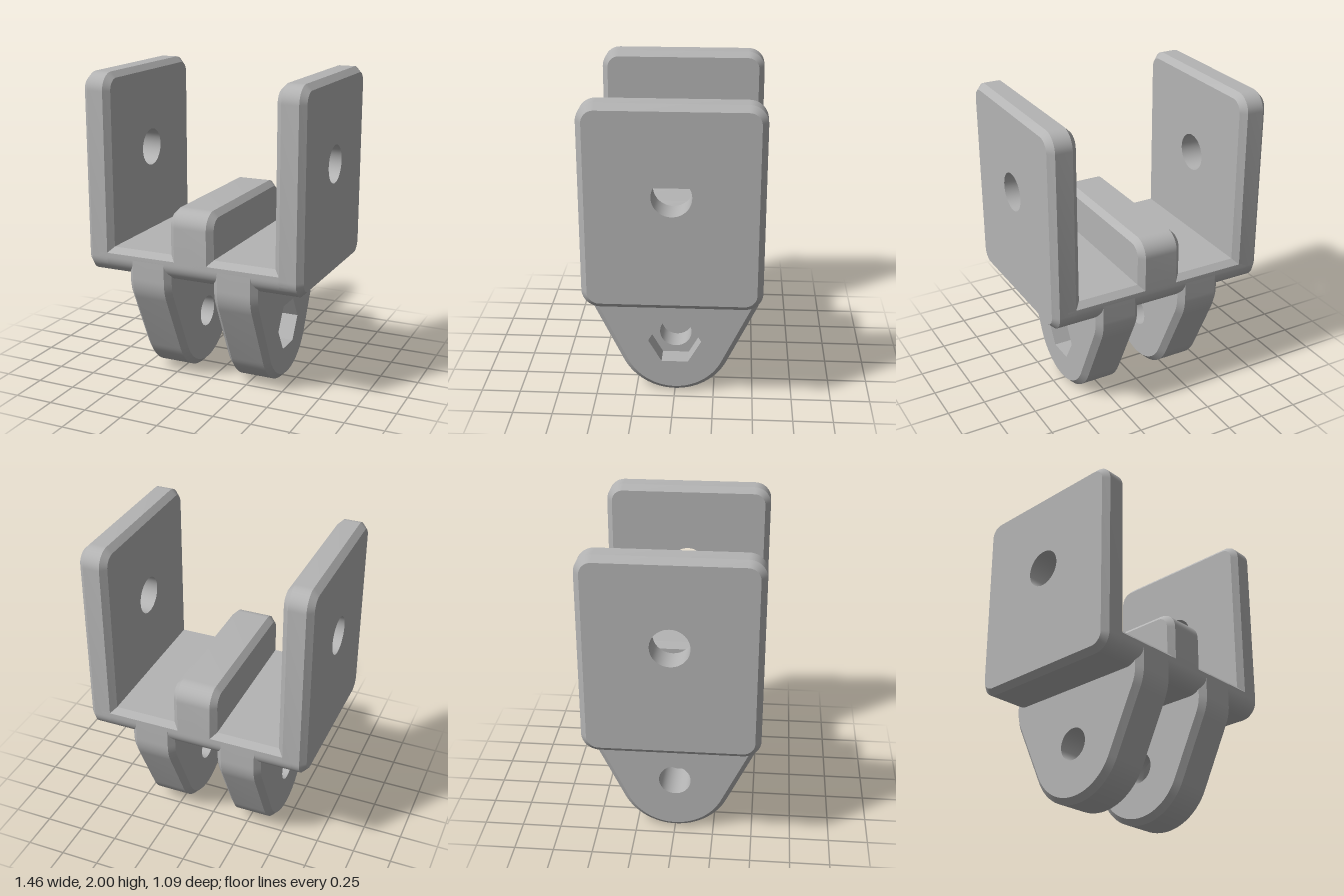
import * as THREE from 'three';
import { toCreasedNormals } from 'three/addons/utils/BufferGeometryUtils.js';

const C = 0.036;      // edge chamfer
const HALF = 0.544;   // half depth of the bracket
const R = 0.11;       // corner radius

// Points on an arc, counter-clockwise from a0 to a1
function arc(cx, cy, r, a0, a1, n = 12) {
  return Array.from({ length: n + 1 }, (_, i) => {
    const a = a0 + ((a1 - a0) * i) / n;
    return new THREE.Vector2(cx + r * Math.cos(a), cy + r * Math.sin(a));
  });
}
const circle = (cy, r, n = 48) => arc(0, cy, r, 0, Math.PI * 2, n).slice(0, -1);
const pt = (x, y) => new THREE.Vector2(x, y);

// Solid across x from x0 to x1; profile(inset) gives its outline, chamfered on both faces.
// A pocket is a wider recess around the hole, sunk into the x1 face.
function slab(profile, x0, x1, chamfer, hole = null, pocket = null, depth = 0) {
  const pos = [];
  const tri = (...v) => v.forEach(([p, w]) => pos.push(p.x, p.y, w));
  const band = (a, wa, b, wb) => a.forEach((p, i) => {
    const j = (i + 1) % a.length;
    tri([p, wa], [a[j], wa], [b[j], wb]);
    tri([p, wa], [b[j], wb], [b[i], wb]);
  });
  const cap = (outline, inner, w, flip) => {
    const holes = inner ? [[...inner].reverse()] : [];
    const all = [outline, ...holes].flat();
    THREE.ShapeUtils.triangulateShape([...outline], holes.map((h) => [...h])).forEach(([a, b, c]) => {
      if (flip) tri([all[a], w], [all[c], w], [all[b], w]);
      else tri([all[a], w], [all[b], w], [all[c], w]);
    });
  };
  const full = profile(0), face = profile(chamfer);
  if (chamfer) {
    band(face, x0, full, x0 + chamfer);
    band(full, x1 - chamfer, face, x1);
  }
  band(full, x0 + chamfer, full, x1 - chamfer);
  cap(face, hole, x0, true);
  cap(face, pocket || hole, x1, false);
  if (hole) {
    const wall = [...hole].reverse();
    band(wall, x0, wall, x1 - depth);
  }
  if (pocket) {
    const wall = [...pocket].reverse();
    band(wall, x1 - depth, wall, x1);
    cap(pocket, hole, x1 - depth, false);
  }
  const g = new THREE.BufferGeometry();
  g.setAttribute('position', new THREE.Float32BufferAttribute(pos, 3));
  g.rotateY(Math.PI / 2);
  return toCreasedNormals(g, 0.45);
}

// Upright plate: rounded rectangle
const plateProfile = (i) => {
  const h = HALF - R, r = R - i, q = Math.PI / 2;
  return [
    ...arc(h, 0.732 + R, r, -q, 0), ...arc(h, 2 - R, r, 0, q),
    ...arc(-h, 2 - R, r, q, 2 * q), ...arc(-h, 0.732 + R, r, 2 * q, 3 * q),
  ];
};

// Cross beam: rounded below, chamfered above
const beamProfile = () => {
  const h = HALF - R, q = Math.PI / 2;
  return [
    ...arc(h, 0.732 + R, R, -q, 0),
    pt(HALF, 0.905 - C), pt(HALF - C, 0.905), pt(C - HALF, 0.905), pt(-HALF, 0.905 - C),
    ...arc(-h, 0.732 + R, R, 2 * q, 3 * q),
  ];
};

// Middle rib: rounded upper corners, foot buried in the beam
const ribProfile = (i) => {
  const h = HALF - R, q = Math.PI / 2;
  return [
    pt(i - HALF, 0.85), pt(HALF - i, 0.85),
    ...arc(h, 1.196 - R, R - i, 0, q), ...arc(-h, 1.196 - R, R - i, q, 2 * q),
  ];
};

// Hanging lug: round tip, tapered flanks, top buried in the beam
const lugProfile = (i) => {
  const a = 0.451, f = 0.3, cx = HALF - f, cy = 0.722;
  return [
    ...arc(0, 0.365, 0.365 - i, a - Math.PI, -a, 32),
    ...arc(cx, cy, f - i, -a, 0, 8),
    pt(HALF - i, 0.86), pt(i - HALF, 0.86),
    ...arc(-cx, cy, f - i, Math.PI, Math.PI + a, 8),
  ];
};

export function createModel() {
  const model = new THREE.Group();
  model.name = 'clevisBracket';
  const grey = new THREE.MeshStandardMaterial({ color: 0xb4b4b4 });
  grey.name = 'grey';
  const add = (name, geometry) => {
    const mesh = new THREE.Mesh(geometry, grey);
    mesh.name = name;
    model.add(mesh);
  };

  const plateHole = circle(1.455, 0.12);
  add('leftPlate', slab(plateProfile, 0.548, 0.728, C, plateHole));
  add('rightPlate', slab(plateProfile, -0.728, -0.548, C, plateHole));
  add('crossBeam', slab(beamProfile, -0.64, 0.64, 0));
  add('middleRib', slab(ribProfile, -0.145, 0.145, C));

  // The left lug has a hexagonal nut pocket on its outer face
  const pinHole = circle(0.366, 0.102);
  add('leftLug', slab(lugProfile, 0.146, 0.437, C, pinHole, circle(0.366, 0.169, 6), 0.13));
  add('rightLug', slab(lugProfile, -0.437, -0.146, C, pinHole));
  return model;
}
